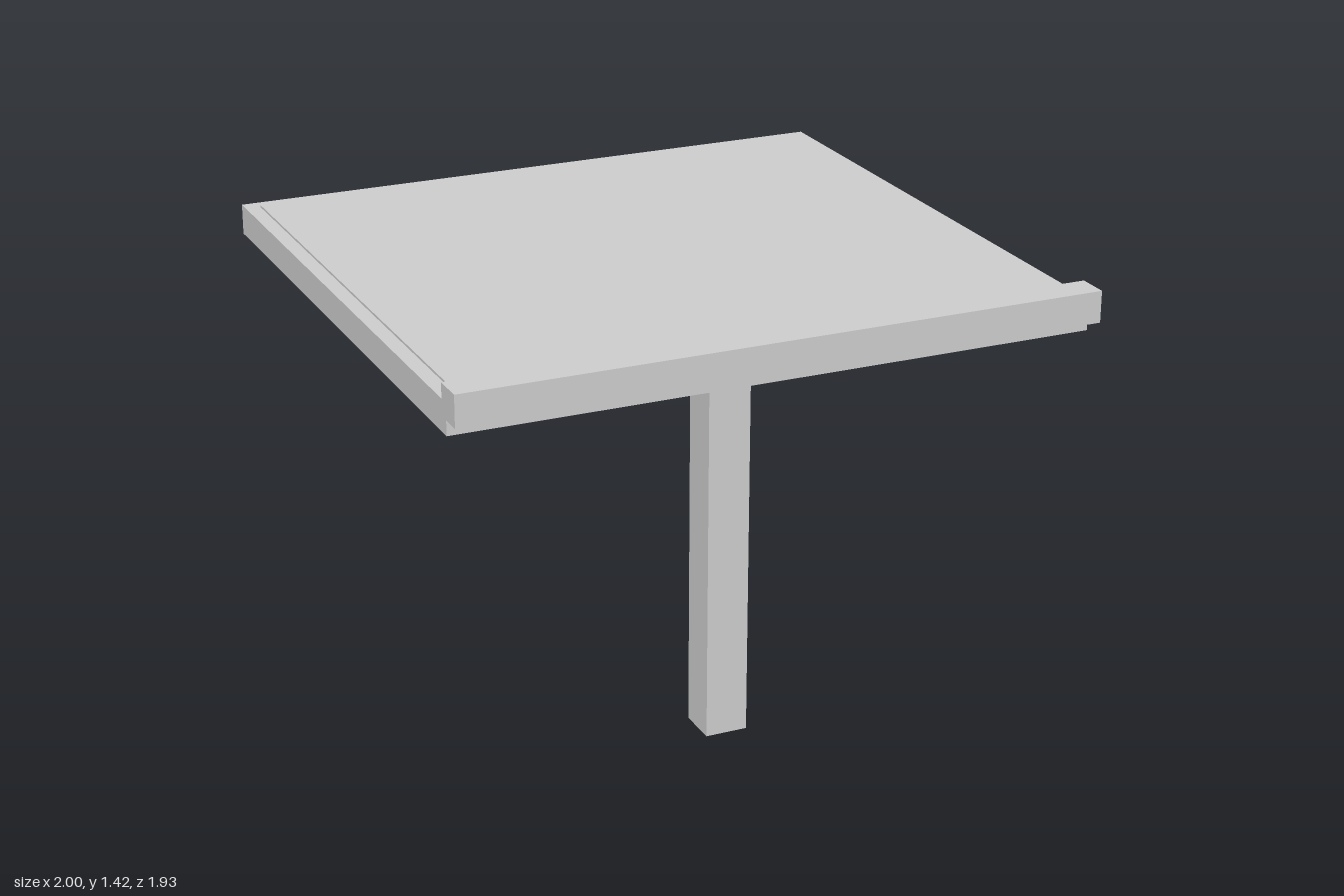
import * as THREE from 'three';

export function createModel() {
  const model = new THREE.Group();
  model.name = 'cantedPostTable';
  const grey = new THREE.MeshStandardMaterial({ color: 0xcccccc });
  grey.name = 'light grey';

  // Axis-aligned box given by its lower and upper corners
  const block = (name, [x0, y0, z0], [x1, y1, z1]) => {
    const mesh = new THREE.Mesh(new THREE.BoxGeometry(x1 - x0, y1 - y0, z1 - z0), grey);
    mesh.name = name;
    mesh.position.set((x0 + x1) / 2, (y0 + y1) / 2, (z0 + z1) / 2);
    model.add(mesh);
  };

  // Square post, set towards the front
  block('post', [-0.067, 0, 0.437], [0.067, 1.275, 0.57]);
  // Broad flat slab
  block('slab', [-1, 1.275, -0.967], [1, 1.372, 0.9]);
  // Thin raised panel on the slab
  block('topPanel', [-0.953, 1.372, -0.92], [0.953, 1.379, 0.857]);
  // Raised rail overhanging the front edge
  block('frontRail', [-1, 1.321, 0.868], [1, 1.419, 0.967]);

  model.name = 'slabOnPost';
  return model;
}
